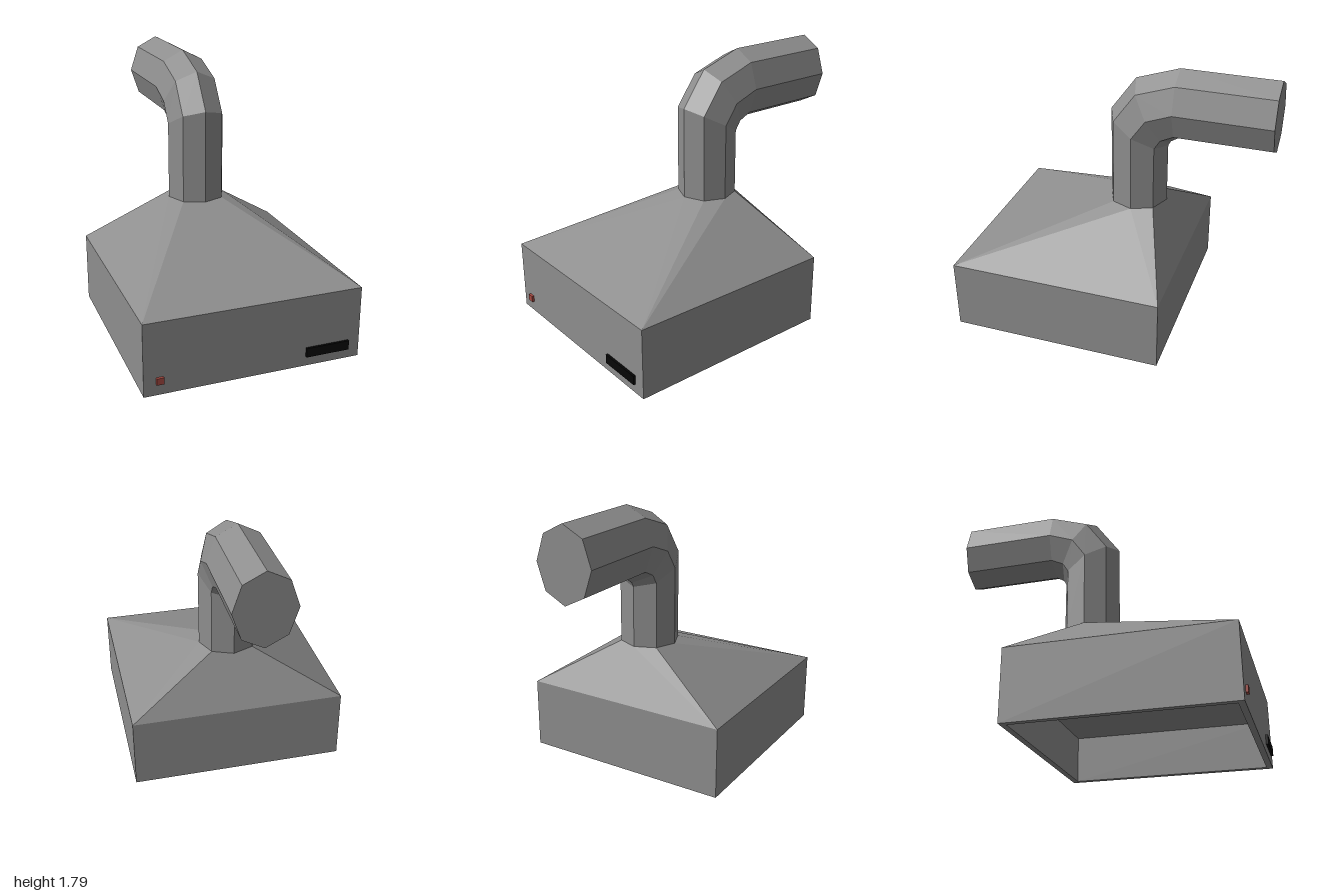
import * as THREE from 'three';

const metal = new THREE.MeshStandardMaterial({ color: 0x8e8e8e });

// Mesh from polygons; each is fanned from its first point and shaded as one flat panel
function panelMesh(name, polygons) {
  const positions = [], normals = [];
  for (const polygon of polygons) {
    const points = polygon.map((p) => new THREE.Vector3(...p));
    const normal = new THREE.Vector3(), corners = [];
    for (let i = 1; i < points.length - 1; i++) {
      const [a, b, c] = [points[0], points[i], points[i + 1]];
      normal.add(b.clone().sub(a).cross(c.clone().sub(a)));
      corners.push(a, b, c);
    }
    normal.normalize();
    for (const p of corners) {
      positions.push(p.x, p.y, p.z);
      normals.push(normal.x, normal.y, normal.z);
    }
  }
  const geometry = new THREE.BufferGeometry();
  geometry.setAttribute('position', new THREE.Float32BufferAttribute(positions, 3));
  geometry.setAttribute('normal', new THREE.Float32BufferAttribute(normals, 3));
  const mesh = new THREE.Mesh(geometry, metal);
  mesh.name = name;
  return mesh;
}

// Closed band of quads between two loops with the same number of points
function band(low, high) {
  return low.map((p, i) => {
    const j = (i + 1) % low.length;
    return [p, low[j], high[j], high[i]];
  });
}

// Square loop of the hood, pulled in by an inset
function square(y, inset = 0) {
  const x = 0.716 - inset, front = 0.984 - inset, back = -0.448 + inset;
  return [[x, y, front], [x, y, back], [-x, y, back], [-x, y, front]];
}

// Octagon with centre (cy, cz); (hy, hz) reaches from the centre to its outer corner
function octagon(cy, cz, hy, hz) {
  return Array.from({ length: 8 }, (_, k) => {
    const a = (k * Math.PI) / 4, c = Math.cos(a);
    return [0.196 * Math.sin(a), cy + hy * c, cz + hz * c];
  });
}

function box(name, color, x, y, width, height) {
  const mesh = new THREE.Mesh(
    new THREE.BoxGeometry(width, height, 0.04),
    new THREE.MeshStandardMaterial({ color })
  );
  mesh.position.set(x, y, 0.98);
  mesh.name = name;
  return mesh;
}

export function createModel() {
  const group = new THREE.Group();
  group.name = 'extractorHood';

  // Hollow square skirt: inner wall, bottom rim, outer wall
  const loops = [square(0.32, 0.04), square(0, 0.04), square(0), square(0.48)];
  group.add(panelMesh('skirt', loops.slice(1).flatMap((loop, i) => band(loops[i], loop))));

  // Flat ceiling inside the hood
  group.add(panelMesh('innerCeiling', [[...loops[0]].reverse()]));

  // Sloping top that narrows to the pipe: front, left, back, right, two front corners
  const pipeBase = octagon(0.835, -0.097, 0, 0.196);
  const r = pipeBase, c = loops[3];
  group.add(panelMesh('slopingTop', [
    [r[0], r[7], c[3], c[0], r[1]],
    [r[2], c[0], c[1], r[3]],
    [r[4], r[3], c[1], c[2], r[5]],
    [r[6], r[5], c[2], c[3]],
    [c[0], r[2], r[1]],
    [c[3], r[7], r[6]],
  ]));

  // Eight-sided pipe that bends backwards, closed at its end
  const rings = [
    pipeBase,
    octagon(1.353, -0.097, 0.107, 0.196),
    octagon(1.487, -0.19, 0.209, 0.12),
    octagon(1.552, -0.36, 0.243, 0),
    octagon(1.552, -1, 0.243, 0),
  ];
  const pipe = rings.slice(1).flatMap((ring, i) => band(rings[i], ring));
  group.add(panelMesh('exhaustPipe', [...pipe, rings[4]]));

  // Front controls
  group.add(box('powerButton', 0xa84a42, -0.615, 0.096, 0.046, 0.044));
  group.add(box('controlPanel', 0x060606, 0.49, 0.096, 0.296, 0.062));

  return group;
}
